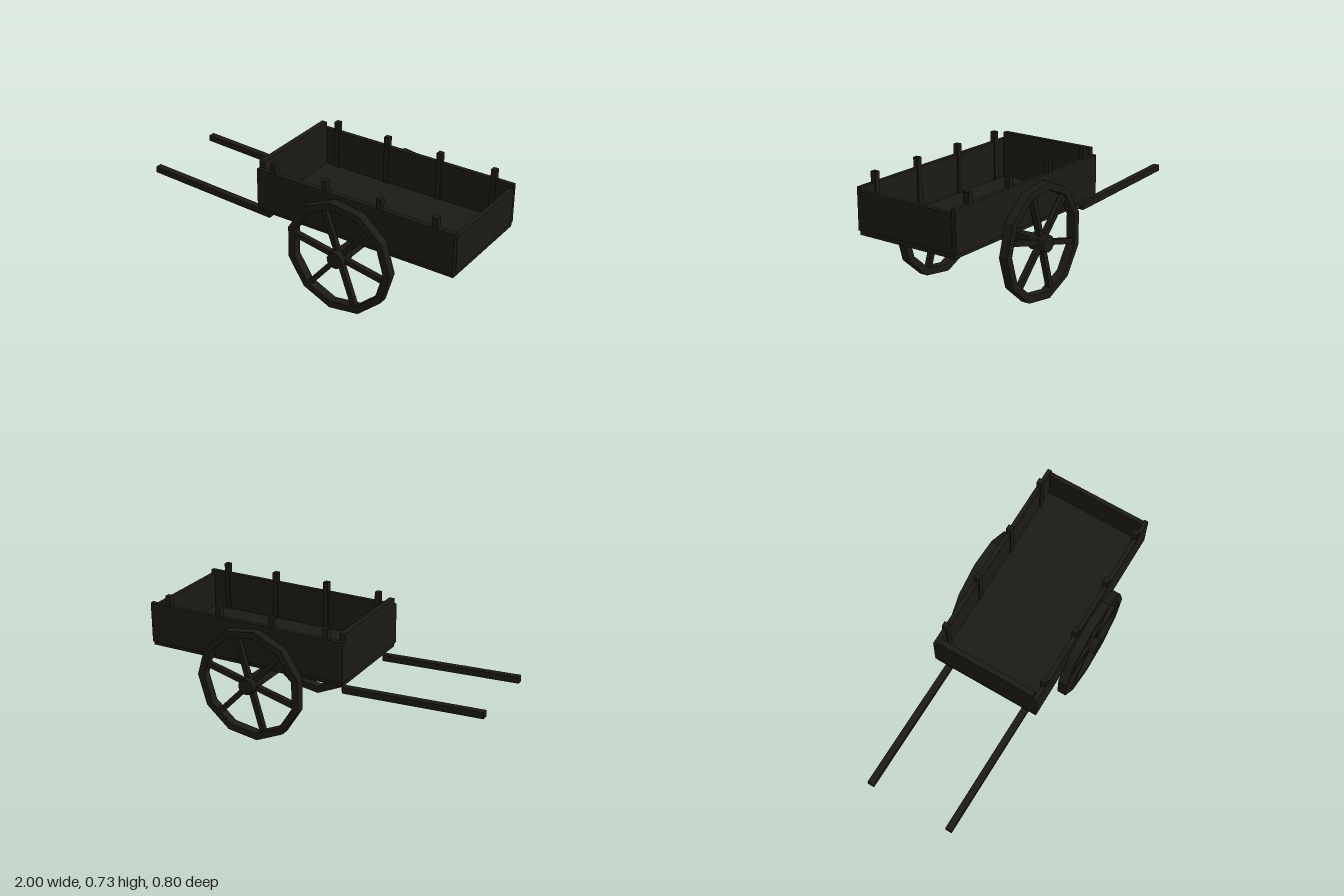
import * as THREE from 'three';

const wood = new THREE.MeshStandardMaterial({ color: 0x1c1a15, flatShading: true });

// Box given by its limits on each axis
function board(name, [x0, x1], [y0, y1], [z0, z1]) {
  const mesh = new THREE.Mesh(new THREE.BoxGeometry(x1 - x0, y1 - y0, z1 - z0), wood);
  mesh.name = name;
  mesh.position.set((x0 + x1) / 2, (y0 + y1) / 2, (z0 + z1) / 2);
  return mesh;
}

function polygon(target, radius, sides) {
  const points = [];
  for (let i = 0; i < sides; i++) {
    const a = (i / sides) * Math.PI * 2;
    points.push(new THREE.Vector2(Math.cos(a) * radius, Math.sin(a) * radius));
  }
  return target.setFromPoints(points);
}

// Eleven-sided rim, six spokes and a hub, centred on its own axis
function makeWheel(name, phase) {
  const wheel = new THREE.Group();
  wheel.name = name;

  const shape = polygon(new THREE.Shape(), 0.326, 11);
  shape.holes.push(polygon(new THREE.Path(), 0.285, 11));
  const rimGeometry = new THREE.ExtrudeGeometry(shape, { depth: 0.052, bevelEnabled: false });
  rimGeometry.translate(0, 0, -0.026);
  const rim = new THREE.Mesh(rimGeometry, wood);
  rim.name = 'rim';
  wheel.add(rim);

  for (let i = 0; i < 6; i++) {
    const geometry = new THREE.BoxGeometry(0.27, 0.03, 0.03);
    geometry.translate(0.16, 0, 0);
    const spoke = new THREE.Mesh(geometry, wood);
    spoke.name = 'spoke';
    spoke.rotation.z = THREE.MathUtils.degToRad(phase + i * 60);
    wheel.add(spoke);
  }

  const hub = new THREE.Mesh(new THREE.CylinderGeometry(0.047, 0.047, 0.102, 11), wood);
  hub.name = 'hub';
  hub.rotation.x = Math.PI / 2;
  wheel.add(hub);
  return wheel;
}

export function createModel() {
  const cart = new THREE.Group();
  cart.name = 'handcart';

  // Open bed with a taller board at the shaft end
  cart.add(board('floor', [-0.215, 0.995], [0.413, 0.447], [-0.312, 0.312]));
  cart.add(board('headboard', [-0.22, -0.188], [0.44, 0.71], [-0.295, 0.295]));
  cart.add(board('tailboard', [0.975, 1.0], [0.44, 0.647], [-0.297, 0.297]));

  for (const side of [1, -1]) {
    const label = side > 0 ? 'front' : 'back';
    const span = (a, b) => (side > 0 ? [a, b] : [-b, -a]);
    cart.add(board(label + 'SidePanel', [-0.22, 0.997], [0.435, 0.67], span(0.295, 0.321)));

    // Stakes standing above the side panels
    for (const x of [-0.115, 0.215, 0.55, 0.88]) {
      cart.add(board(label + 'Stake', [x - 0.015, x + 0.015], [0.445, 0.728], span(0.287, 0.3195)));
    }

    // Sloping pull shaft
    const shaft = new THREE.Mesh(new THREE.BoxGeometry(0.815, 0.036, 0.038), wood);
    shaft.name = label + 'Shaft';
    shaft.position.set(-0.592, 0.386, side * 0.244);
    shaft.rotation.z = -0.047;
    cart.add(shaft);

    // Wheel, with the hub reaching further out than the rim
    const wheel = makeWheel(label + 'Wheel', side > 0 ? -10 : 14);
    wheel.position.set(0.335, 0.325, side * 0.349);
    cart.add(wheel);
  }

  // Axle between the hubs
  cart.add(board('axle', [0.306, 0.364], [0.297, 0.355], [-0.31, 0.31]));
  return cart;
}
